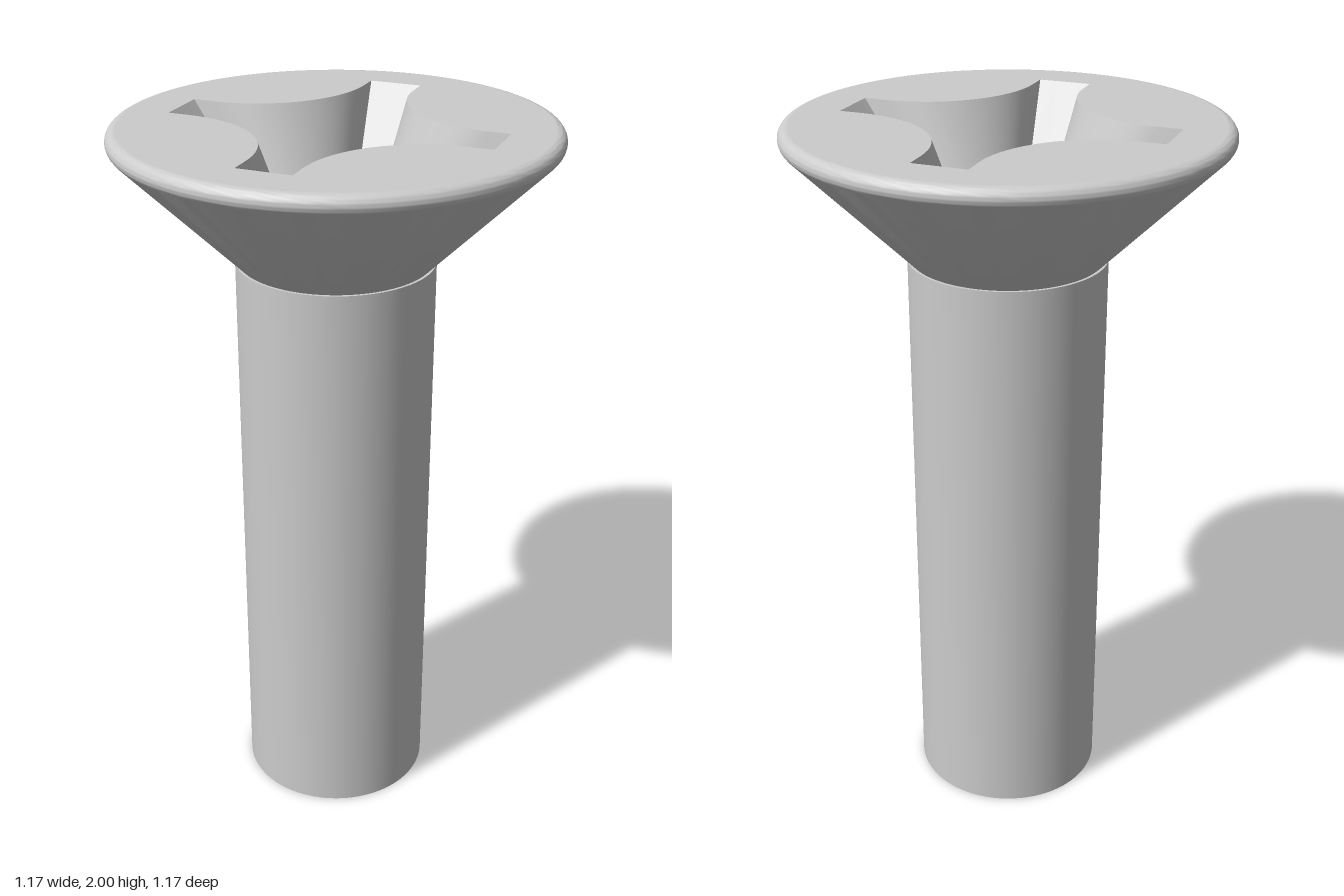
import * as THREE from 'three';
import { toCreasedNormals } from 'three/addons/utils/BufferGeometryUtils.js';

const SEGMENTS = 96;
const TOP = 2, FLOOR = 1.63;
const RIM = 0.027, RIM_X = 0.558; // rim fillet radius and its centre

// Cross recess sections: slot reach, end bulge, slot half width, fillet centre
const MOUTH = { reach: 0.44, bulge: 0, half: 0.073, centre: 0.38 };
const BASE = { reach: 0.168, bulge: 0.003, half: 0.028, centre: 0.15 };

const turn = (points, k) => {
  const a = k * Math.PI / 2;
  return points.map(p => p.clone().rotateAround(new THREE.Vector2(), a));
};

// Outer end of one slot
function slotEnd({ reach, bulge, half }) {
  return [-1, -0.5, 0, 0.5, 1].map(t =>
    new THREE.Vector2(reach + bulge * (1 - t * t), half * t));
}

// Curved side running from one slot to the next
function slotSide({ reach, half, centre }) {
  const points = [new THREE.Vector2(reach, half)];
  const r = centre - half, steps = 20;
  for (let i = 0; i <= steps; i++) {
    const a = -Math.PI / 2 * (1 + i / steps);
    points.push(new THREE.Vector2(centre + r * Math.cos(a), centre + r * Math.sin(a)));
  }
  points.push(new THREE.Vector2(half, reach));
  return points;
}

function outline(section) {
  const points = [];
  for (let k = 0; k < 4; k++) {
    points.push(...turn(slotEnd(section).slice(0, -1), k));
    points.push(...turn(slotSide(section).slice(0, -1), k));
  }
  return points;
}

// Ruled wall between the mouth and the base, facing the screw axis
function wall(upper, lower) {
  const position = [], index = [];
  upper.forEach((p, i) => {
    position.push(p.x, TOP, p.y, lower[i].x, FLOOR, lower[i].y);
    if (i > 0) {
      const a = 2 * i - 2;
      index.push(a, a + 1, a + 2, a + 2, a + 1, a + 3);
    }
  });
  const geometry = new THREE.BufferGeometry();
  geometry.setAttribute('position', new THREE.Float32BufferAttribute(position, 3));
  geometry.setIndex(index);
  geometry.computeVertexNormals();
  return geometry;
}

function flat(shape, y) {
  return new THREE.ShapeGeometry(shape, SEGMENTS).rotateX(-Math.PI / 2).translate(0, y, 0);
}

function lathe(points) {
  const profile = points.map(([x, y]) => new THREE.Vector2(x, y));
  return toCreasedNormals(new THREE.LatheGeometry(profile, SEGMENTS), 0.5);
}

export function createModel() {
  const group = new THREE.Group();
  const material = new THREE.MeshStandardMaterial({ color: 0xcccccc });
  const add = (name, geometry, parent = group) => {
    const mesh = new THREE.Mesh(geometry, material);
    mesh.name = name;
    parent.add(mesh);
  };

  // Plain shank with a narrow shoulder under the head
  add('shank', lathe([[0, 0], [0.268, 0], [0.268, 1.637], [0.24, 1.637]]));

  // Countersunk cone running into the rounded rim
  const profile = [[0.26, 1.637]];
  for (let i = 0; i <= 12; i++) {
    const a = -Math.PI / 4 + i / 12 * Math.PI * 0.75;
    profile.push([RIM_X + RIM * Math.cos(a), TOP - RIM + RIM * Math.sin(a)]);
  }
  add('head', lathe(profile));

  // Flat top with the cross-shaped opening
  const face = new THREE.Shape().absarc(0, 0, RIM_X, 0, Math.PI * 2);
  face.holes.push(new THREE.Path(outline(MOUTH)));
  add('headFace', flat(face, TOP));

  // Tapered cross recess
  const recess = new THREE.Group();
  recess.name = 'crossRecess';
  group.add(recess);
  for (let k = 0; k < 4; k++) {
    add('slotEnd', wall(turn(slotEnd(MOUTH), k), turn(slotEnd(BASE), k)), recess);
    add('slotSide', wall(turn(slotSide(MOUTH), k), turn(slotSide(BASE), k)), recess);
  }
  add('recessFloor', flat(new THREE.Shape(outline(BASE)), FLOOR), recess);

  return group;
}
